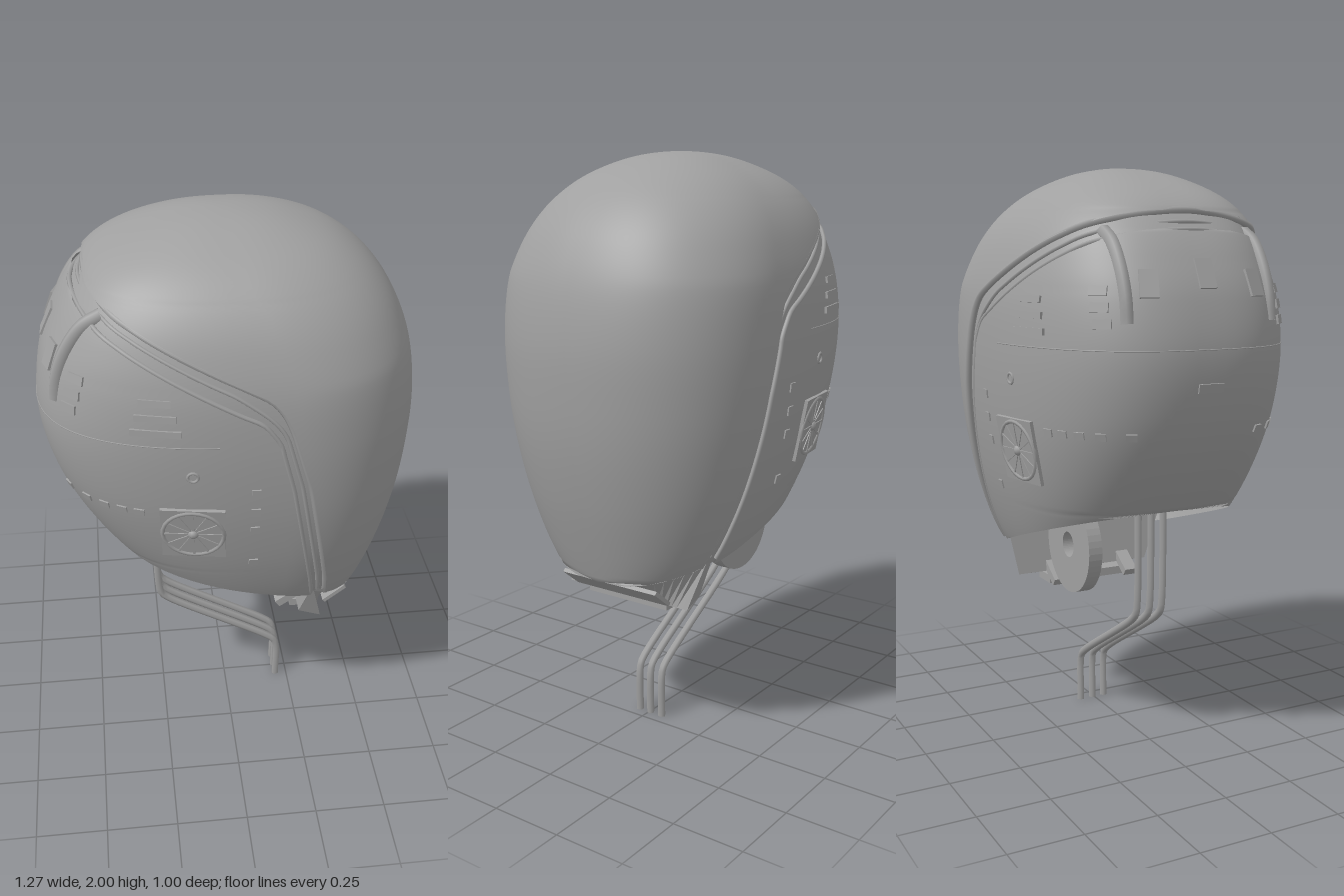
import * as THREE from 'three';
import { mergeVertices } from 'three/addons/utils/BufferGeometryUtils.js';

const grey = new THREE.MeshStandardMaterial({ color: 0xa0a0a0, side: THREE.DoubleSide });
grey.name = 'matte grey';

// Horizontal sections of the head: y, xMin, xMax, half width
const SECTIONS = [
  [0.56, -0.12, 0.48, 0.29], [0.7, -0.28, 0.525, 0.37], [0.87, -0.43, 0.572, 0.43],
  [1.05, -0.545, 0.608, 0.47], [1.22, -0.615, 0.626, 0.492], [1.4, -0.645, 0.63, 0.5],
  [1.57, -0.62, 0.607, 0.49], [1.7, -0.565, 0.56, 0.455], [1.8, -0.5, 0.495, 0.405],
  [1.88, -0.42, 0.41, 0.335], [1.94, -0.3, 0.305, 0.245], [1.985, -0.15, 0.16, 0.13], [2, 0, 0, 0],
];
const LAST = SECTIONS.length - 1;
// Superellipse powers of the rear and the fuller face half
const REAR = 2 / 2.3, FACE = 2 / 2.75;

function section(u) {
  const i = Math.min(Math.floor(u), LAST - 1), t = u - i;
  const row = (k) => {
    if (k < 0) return SECTIONS[0].map((v, c) => 2 * v - SECTIONS[1][c]);
    if (k > LAST) return SECTIONS[LAST - 1].map((v, c) => (c ? -v : v));
    return SECTIONS[k];
  };
  const [a, b, c, d] = [row(i - 1), row(i), row(i + 1), row(i + 2)];
  return b.map((v, k) => 0.5 * (2 * v + (c[k] - a[k]) * t + (2 * a[k] - 5 * v + 4 * c[k] - d[k]) * t * t
    + (3 * v - a[k] - 3 * c[k] + d[k]) * t ** 3));
}

function uAt(y) {
  let lo = 0, hi = LAST;
  for (let k = 0; k < 40; k++) {
    const m = (lo + hi) / 2;
    if (section(m)[0] < y) lo = m; else hi = m;
  }
  return hi;
}

const centre = (y) => 0.16 * Math.min(1, (2 - y) / 0.4);

// Point on the head: theta 0 is the rear (+x), PI the face (-x); d is an offset
function point(sec, theta, d = 0) {
  const [y, x0, x1, w] = sec, c = Math.cos(theta), cx = centre(y);
  const r = c > 0 ? x1 - cx + d : cx - x0 + d, pow = c > 0 ? REAR : FACE;
  const z = (w + d) * Math.abs(Math.sin(theta)) ** pow;
  return new THREE.Vector3(cx + r * Math.sign(c) * Math.abs(c) ** pow, y, Math.abs(z) < 1e-5 ? 0 : z);
}

function thetaAt(sec, x, d = 0) {
  const [y, x0, x1] = sec, cx = centre(y), r = x > cx ? x1 - cx + d : cx - x0 + d;
  if (r < 1e-4) return x > cx ? 0 : Math.PI;
  return Math.acos(Math.sign(x - cx) * Math.min(1, Math.abs(x - cx) / r) ** (1 / (x > cx ? REAR : FACE)));
}

const table = (pts) => (y) => {
  if (y <= pts[0][0]) return pts[0][1];
  for (let i = 1; i < pts.length; i++) {
    const [ya, xa] = pts[i - 1], [yb, xb] = pts[i];
    if (y <= yb) return xa + (xb - xa) * (y - ya) / (yb - ya);
  }
  return pts[pts.length - 1][1];
};

// Edge lines in profile
const shellEdge = table([[0.59, 0.49], [0.66, 0.33], [0.79, 0.315], [1.24, 0.23], [1.475, 0.16],
  [1.535, 0.13], [1.58, 0.09], [1.847, -0.466], [1.86, -2], [2, -2]]);
const faceEdge = table([[0.64, 0.28], [0.79, 0.255], [1.24, 0.17], [1.43, 0.12], [1.49, 0.07], [1.79, -0.5], [1.8, -2]]);
const faceBase = table([[0.64, 0.33], [0.87, -0.42], [0.88, -2], [2, -2]]);

// Both mirrored halves of a surface strip between two profile lines
function strip(lo, hi, y0, y1, d, rows = 90, cols = 36) {
  const pos = [], idx = [], ua = uAt(y0), ub = uAt(y1), n = cols + 1;
  for (const s of [1, -1]) {
    const base = pos.length / 3;
    for (let i = 0; i <= rows; i++) {
      const sec = section(ua + (ub - ua) * i / rows);
      const a = thetaAt(sec, hi(sec[0]), d), b = Math.max(a, thetaAt(sec, lo(sec[0]), d));
      for (let j = 0; j <= cols; j++) {
        const p = point(sec, a + (b - a) * j / cols, sec[3] < 1e-4 ? 0 : d);
        pos.push(p.x, p.y, s * p.z);
        if (i === rows || j === cols) continue;
        const k = base + i * n + j;
        if (s > 0) idx.push(k, k + n, k + 1, k + 1, k + n, k + n + 1);
        else idx.push(k, k + 1, k + n, k + 1, k + n + 1, k + n);
      }
    }
  }
  let g = new THREE.BufferGeometry();
  g.setAttribute('position', new THREE.Float32BufferAttribute(pos, 3));
  g.setIndex(idx);
  g = mergeVertices(g, 1e-5);
  g.computeVertexNormals();
  return g;
}

// Neck block lofted from the lower shell edge down to a flat underside
function neckBlock(cols = 24) {
  const pos = [], idx = [], n = 5;
  for (let i = 0; i <= cols; i++) {
    const t = 2 * i / cols - 1, s = Math.sign(t), sec = section(uAt(0.592 + 0.1 * t * t));
    const e = point(sec, thetaAt(sec, shellEdge(sec[0])));
    pos.push(e.x, e.y, s * e.z, e.x - 0.04, e.y - 0.012, s * e.z * 0.92,
      0.33, 0.495, 0.255 * t, 0.25, 0.52, 0.25 * t, 0.28, 0.7, 0.33 * t);
    for (let j = 0; j < n - 1 && i < cols; j++) {
      const k = i * n + j;
      idx.push(k, k + 1, k + n, k + 1, k + n + 1, k + n);
    }
  }
  const last = cols * n;
  idx.push(0, 4, 1, 1, 4, 3, 1, 3, 2, last, last + 1, last + 4, last + 1, last + 3, last + 4, last + 1, last + 2, last + 3);
  const g = new THREE.BufferGeometry();
  g.setAttribute('position', new THREE.Float32BufferAttribute(pos, 3));
  g.setIndex(idx);
  const flat = g.toNonIndexed();
  flat.computeVertexNormals();
  return flat;
}

export function createModel() {
  const model = new THREE.Group();
  const add = (name, geo) => {
    const m = new THREE.Mesh(geo, grey);
    m.name = name;
    model.add(m);
    return m;
  };
  const tube = (name, pts, r, seg = 160) => add(name,
    new THREE.TubeGeometry(new THREE.CatmullRomCurve3(pts, false, 'centripetal'), seg, r, 6));
  const mirrored = (pts) => [...pts, ...pts.slice(0, -1).reverse().map((p) => new THREE.Vector3(p.x, p.y, -p.z))];

  // Main surfaces
  add('outerShell', strip(shellEdge, () => 2, 0.59, 2, 0));
  add('faceShell', strip(faceBase, faceEdge, 0.66, 1.79, -0.012));
  add('edgeTrim', strip((y) => Math.max(faceEdge(y) - 0.02, faceBase(y)), (y) => shellEdge(y) + 0.03, 0.66, 1.85, -0.026, 90, 8));

  // Raised rims along the opening
  const rim = (name, edge, y0, y1, d, r) => {
    const pts = [];
    for (let i = 0; i <= 30; i++) {
      const sec = section(uAt(y0 + (y1 - y0) * i / 30));
      pts.push(point(sec, i === 30 ? Math.PI : thetaAt(sec, edge(sec[0]), d), d));
    }
    tube(name, mirrored(pts), r);
  };
  rim('shellRim', shellEdge, 0.66, 1.846, -0.012, 0.012);
  rim('faceRim', faceEdge, 0.68, 1.785, -0.016, 0.008);
  rim('trimRidge', (y) => (shellEdge(y) + faceEdge(y)) / 2, 0.68, 1.81, -0.024, 0.007);

  // Fine seam around the face
  const seam = [];
  for (let i = 0; i <= 20; i++) seam.push(point(section(uAt(1.42)), 1.75 + (Math.PI - 1.75) * i / 20, -0.012));
  tube('faceSeam', mirrored(seam), 0.002);

  // Place a part on the face at height y, facing outward, by x or by theta
  function mount(name, geo, y, { x, theta }, side, lift = 0) {
    const sec = section(uAt(y)), d = -0.012, t = theta ?? thetaAt(sec, x, d);
    const p = point(sec, t, d);
    const along = point(sec, t - 0.02, d).sub(point(sec, Math.min(t + 0.02, Math.PI), d));
    const up = point(section(uAt(y + 0.02)), t, d).sub(point(section(uAt(y - 0.02)), t, d));
    const n = along.cross(up).normalize();
    const m = add(name, geo);
    p.addScaledVector(n, lift);
    m.position.set(p.x, p.y, p.z * side);
    m.lookAt(p.x + n.x, p.y + n.y, (p.z + n.z) * side);
  }
  const box = (w, h, d) => new THREE.BoxGeometry(w, h, d);

  for (const s of [1, -1]) {
    // Ear boss: square frame, ring and fan
    mount('earFrame', box(0.21, 0.22, 0.012), 1.07, { x: -0.15 }, s);
    mount('earRing', new THREE.TorusGeometry(0.1, 0.008, 6, 28), 1.07, { x: -0.15 }, s, 0.004);
    mount('earHub', new THREE.SphereGeometry(0.02, 10, 8), 1.07, { x: -0.15 }, s);
    for (let i = 0; i < 6; i++) {
      const spoke = box(0.19, 0.008, 0.012).rotateZ(i * Math.PI / 6);
      mount('earSpoke', spoke, 1.07, { x: -0.15 }, s, 0.003);
    }
    // Upper side vents
    for (let i = 0; i < 3; i++) mount('sideVent', box(0.16 - 0.03 * i, 0.022, 0.012), 1.47 + 0.05 * i, { x: -0.26 }, s);
    mount('screw', new THREE.TorusGeometry(0.017, 0.005, 6, 14), 1.31, { x: -0.15 }, s);
    for (let i = 0; i < 3; i++) mount('frontVent', box(0.06, 0.03, 0.012), 1.5 + 0.05 * i, { x: -0.52 + 0.015 * i }, s);
    // Row of small slots beside the mouth
    for (let i = 0; i < 5; i++) mount('mouthSlot', box(0.035, 0.025, 0.01), 1.15, { x: -0.54 + 0.055 * i }, s);
    for (const y of [0.92, 1.08, 1.16, 1.24]) mount('rearNotch', box(0.03, 0.03, 0.01), y, { x: 0.05 }, s);
    mount('browVent', box(0.06, 0.09, 0.012), 1.62, { theta: 2.85 }, s);

    // Brow finger bridging trim and face, sinking into the face at its tip
    tube('browFinger', [[-0.4, 1.78], [-0.46, 1.745], [-0.515, 1.67], [-0.55, 1.58], [-0.56, 1.5]]
      .map(([x, y]) => new THREE.Vector3(x, y, 0.258 * s)), 0.023, 16);

    // Rear latch
    const latch = add('rearLatch', box(0.14, 0.03, 0.05));
    latch.position.set(0.24, 0.53, 0.15 * s);
    latch.rotation.z = 0.6;
  }
  mount('browVent', box(0.06, 0.1, 0.012), 1.65, { theta: Math.PI - 1e-3 }, 1);
  mount('mouthPlate', box(0.09, 0.03, 0.01), 1.3, { theta: Math.PI - 1e-3 }, 1);

  // Single ear cup disc hanging below the face shell
  const disc = new THREE.Shape().absarc(0, 0, 0.17, 0, Math.PI * 2);
  disc.holes.push(new THREE.Path().absarc(0, 0, 0.045, 0, Math.PI * 2, true));
  add('earCup', new THREE.ExtrudeGeometry(disc, { depth: 0.05, bevelEnabled: false, curveSegments: 24 }))
    .position.set(-0.055, 0.7, -0.225);

  // Rear neck block with its raised panel and lower lip
  add('neckBlock', neckBlock());
  const panel = add('neckPanel', box(0.1, 0.014, 0.4));
  panel.position.set(0.392, 0.543, 0);
  panel.rotation.z = 0.68;
  add('neckLip', box(0.1, 0.03, 0.34)).position.set(0.28, 0.49, 0);

  // Three bent stand rods
  for (const z of [0.043, -0.005, -0.055]) {
    tube('standRod', [[-0.26, 0.9], [-0.255, 0.52], [-0.245, 0.475], [-0.215, 0.445], [0.16, 0.215],
      [0.195, 0.185], [0.205, 0.15], [0.205, 0]].map(([x, y]) => new THREE.Vector3(x, y, z)), 0.014, 60);
  }
  return model;
}
